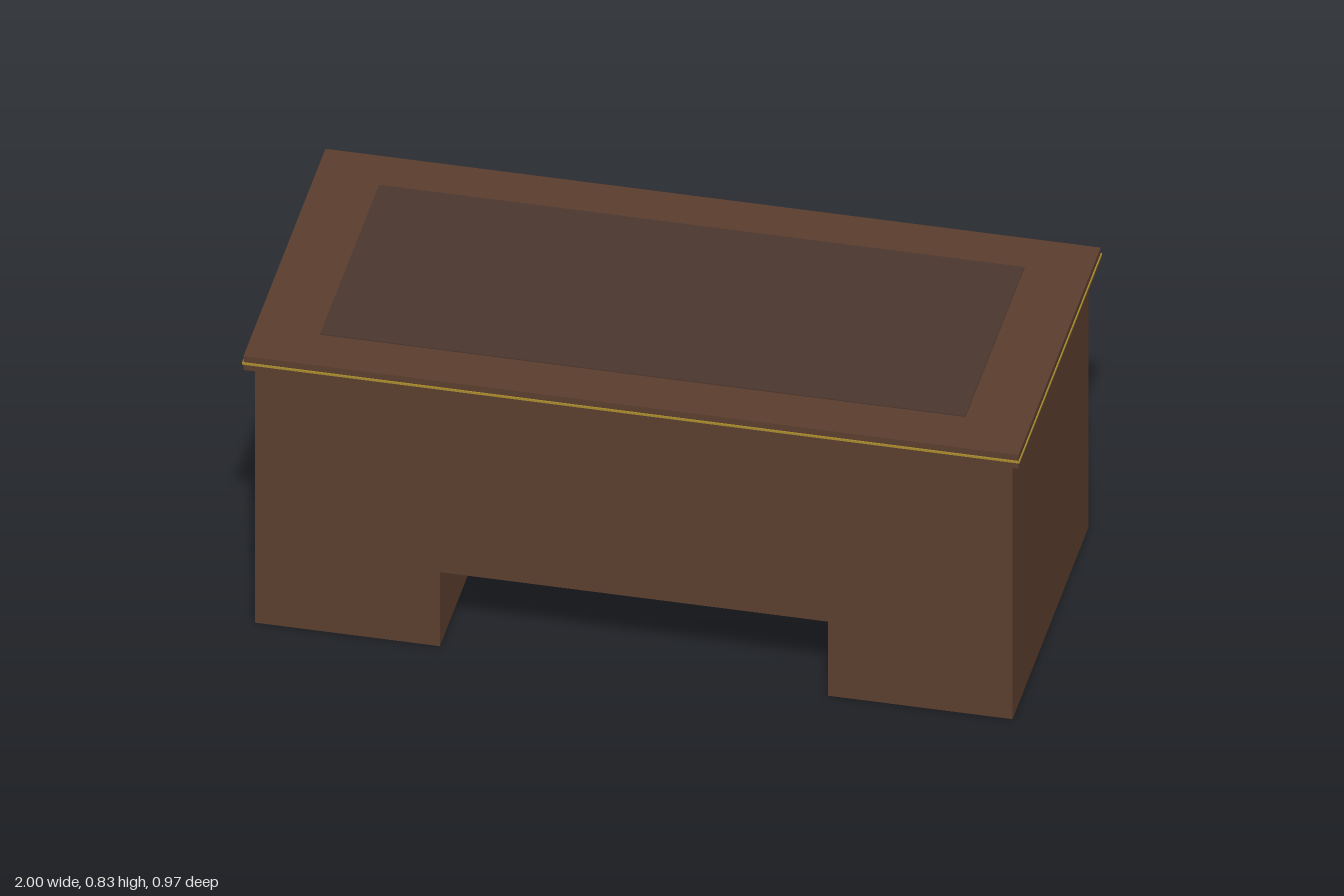
import * as THREE from 'three';

const wood = new THREE.MeshStandardMaterial({ color: 0x5a3d2e });
const leather = new THREE.MeshStandardMaterial({ color: 0x4a362f });
const brass = new THREE.MeshStandardMaterial({ color: 0xa88a2c });

// Box given by its minimum and maximum corners
function box(name, material, [x0, y0, z0], [x1, y1, z1]) {
  const mesh = new THREE.Mesh(new THREE.BoxGeometry(x1 - x0, y1 - y0, z1 - z0), material);
  mesh.position.set((x0 + x1) / 2, (y0 + y1) / 2, (z0 + z1) / 2);
  mesh.name = name;
  return mesh;
}

// Rectangular ring with an open middle, extruded along z
function ring(name, material, w, h, border, depth) {
  const rect = (P, a, b) => {
    const p = new P();
    p.moveTo(-a, -b).lineTo(a, -b).lineTo(a, b).lineTo(-a, b).closePath();
    return p;
  };
  const shape = rect(THREE.Shape, w / 2, h / 2);
  shape.holes.push(rect(THREE.Path, w / 2 - border, h / 2 - border));
  const geometry = new THREE.ExtrudeGeometry(shape, { depth, bevelEnabled: false });
  const mesh = new THREE.Mesh(geometry, material);
  mesh.name = name;
  return mesh;
}

// Drawer front, facing +z, with its back on z = 0
function makeDrawer() {
  const drawer = new THREE.Group();
  drawer.name = 'drawer';
  drawer.add(box('drawerFront', wood, [-0.215, -0.11, 0], [0.215, 0.11, 0.014]));
  const trim = ring('drawerTrim', brass, 0.398, 0.182, 0.008, 0.004);
  trim.position.z = 0.0135;
  drawer.add(trim);
  drawer.add(box('raisedPanel', wood, [-0.178, -0.072, 0.013], [0.178, 0.072, 0.028]));

  // Turned knob
  const profile = [[0, 0], [0.006, 0], [0.005, 0.004], [0.005, 0.017], [0.008, 0.02],
    [0.012, 0.021], [0.012, 0.029], [0.01, 0.03], [0, 0.03]];
  const knob = new THREE.Mesh(
    new THREE.LatheGeometry(profile.map(([r, y]) => new THREE.Vector2(r, y)), 20), brass);
  knob.rotation.x = Math.PI / 2;
  knob.position.z = 0.028;
  knob.name = 'knob';
  drawer.add(knob);
  return drawer;
}

export function createModel() {
  const desk = new THREE.Group();
  desk.name = 'desk';

  // Pedestals with three drawers each
  for (const side of [1, -1]) {
    const pedestal = new THREE.Group();
    pedestal.name = side > 0 ? 'leftPedestal' : 'rightPedestal';
    pedestal.add(box('cabinet', wood, [-0.2375, 0, -0.425], [0.2375, 0.79, 0.447]));
    for (const y of [0.169, 0.407, 0.645]) {
      const drawer = makeDrawer();
      drawer.rotation.y = Math.PI;
      drawer.position.set(0, y, -0.425);
      pedestal.add(drawer);
    }
    pedestal.position.x = side * 0.7365;
    desk.add(pedestal);
  }

  // Modesty panel between the pedestals
  desk.add(box('modestyPanel', wood, [-0.5, 0.225, 0.425], [0.5, 0.79, 0.446]));

  // Top with brass edge band and writing surface
  desk.add(box('deskTop', wood, [-0.997, 0.789, -0.46], [0.997, 0.831, 0.48]));
  desk.add(box('edgeBand', brass, [-1, 0.807, -0.463], [1, 0.813, 0.483]));
  desk.add(box('writingSurface', leather, [-0.83, 0.825, -0.33], [0.83, 0.834, 0.345]));
  return desk;
}
